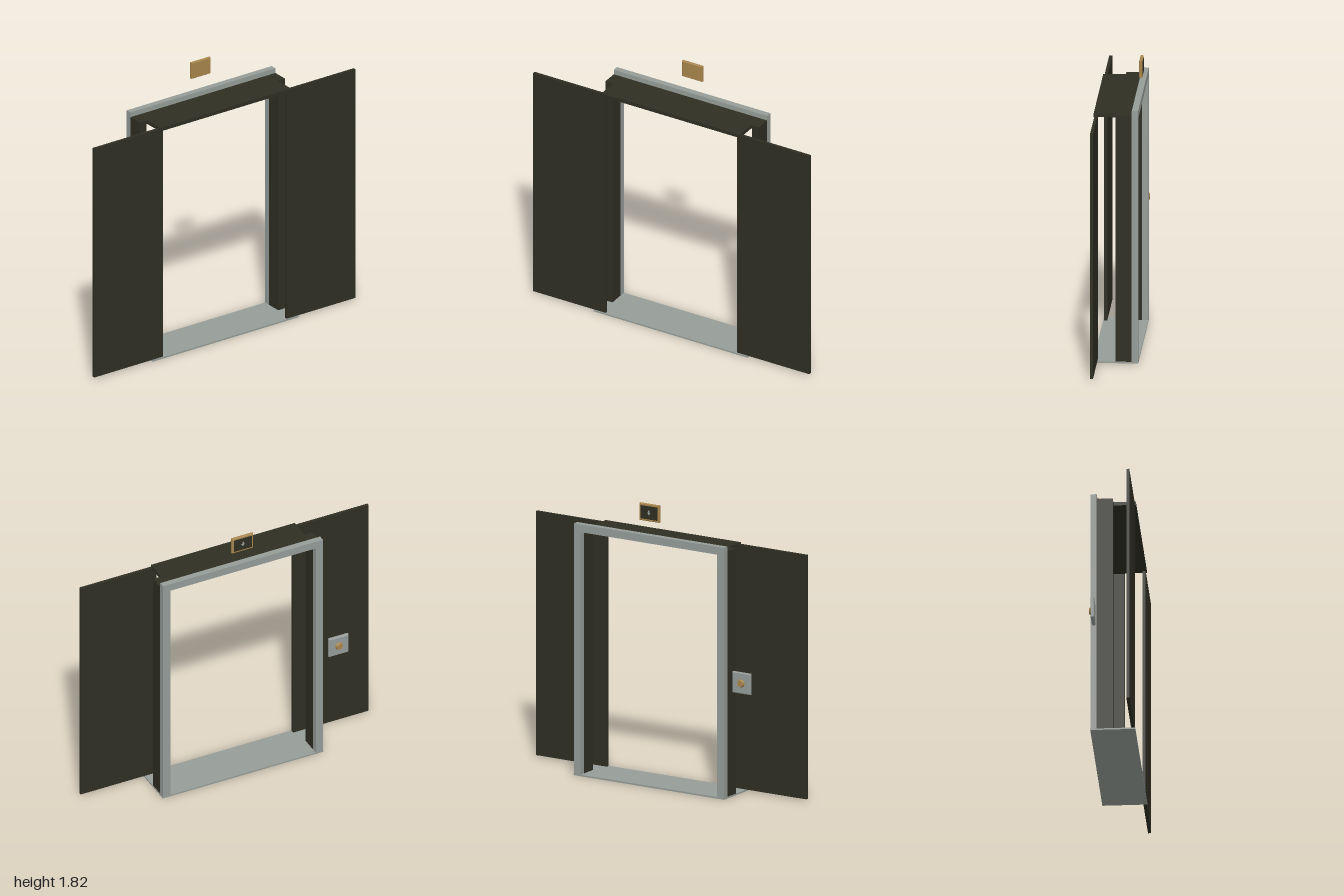
import * as THREE from 'three';

const material = (name, color) => {
  const m = new THREE.MeshStandardMaterial({ color });
  m.name = name;
  return m;
};

export function createModel() {
  const dark = material('dark bronze', 0x2e2e23);
  const steel = material('brushed steel', 0x959c98);
  const brass = material('brass', 0xa8854b);

  const group = new THREE.Group();
  const add = (name, geometry, mat, parent = group) => {
    const mesh = new THREE.Mesh(geometry, mat);
    mesh.name = name;
    parent.add(mesh);
    return mesh;
  };
  // Box given by its extents on each axis
  const box = (name, mat, [x0, x1], [y0, y1], [z0, z1]) => {
    const g = new THREE.BoxGeometry(x1 - x0, y1 - y0, z1 - z0);
    g.translate((x0 + x1) / 2, (y0 + y1) / 2, (z0 + z1) / 2);
    return add(name, g, mat);
  };
  // Plate with chamfered edges, centred on the origin
  const plate = (w, h, d, c) => {
    const a = w / 2 - c, b = h / 2 - c;
    const s = new THREE.Shape([[-a, -b], [a, -b], [a, b], [-a, b]].map(p => new THREE.Vector2(...p)));
    const g = new THREE.ExtrudeGeometry(s, {
      depth: d - 2 * c, bevelEnabled: true, bevelThickness: c, bevelSize: c, bevelSegments: 1,
    });
    return g.translate(0, 0, -d / 2 + c);
  };

  // Floor sill
  box('sill', steel, [-0.557, 0.557], [0, 0.01], [-0.14, 0.14]);

  // Door surround: posts and top bar in one extrusion
  const outline = [[-0.555, 0.005], [-0.505, 0.005], [-0.505, 1.565], [0.505, 1.565],
    [0.505, 0.005], [0.555, 0.005], [0.555, 1.615], [-0.555, 1.615]];
  const surround = new THREE.ExtrudeGeometry(
    new THREE.Shape(outline.map(p => new THREE.Vector2(...p))), { depth: 0.04, bevelEnabled: false });
  add('doorFrame', surround.translate(0, 0, -0.14), steel);

  // Header: wide over the jambs, narrower over the door track
  box('headerRear', dark, [-0.555, 0.555], [1.56, 1.583], [-0.1, 0]);
  box('headerFront', dark, [-0.5, 0.5], [1.56, 1.583], [0, 0.14]);

  // Jambs and sliding door panels
  for (const [side, s] of [['left', 1], ['right', -1]]) {
    const span = (a, b) => (s > 0 ? [a, b] : [-b, -a]);
    box(side + 'Jamb', dark, span(0.505, 0.555), [0.01, 1.56], [-0.1, 0]);
    box(side + 'Door', dark, span(0.475, 1), [0.01, 1.575], [0.114, 0.133]);
  }

  // Floor indicator above the door, facing the landing
  const indicator = new THREE.Group();
  indicator.name = 'floorIndicator';
  indicator.position.set(0, 1.76, -0.127);
  group.add(indicator);
  add('indicatorCase', plate(0.147, 0.11, 0.02, 0.004), brass, indicator);
  add('indicatorScreen', new THREE.BoxGeometry(0.122, 0.084, 0.003), dark, indicator).position.z = -0.0105;
  const arrow = new THREE.Shape([[0, -0.016], [0.013, 0.002], [0.005, 0.002], [0.005, 0.016],
    [-0.005, 0.016], [-0.005, 0.002], [-0.013, 0.002]].map(p => new THREE.Vector2(...p)));
  add('indicatorArrow', new THREE.ExtrudeGeometry(arrow, { depth: 0.002, bevelEnabled: false }),
    steel, indicator).position.z = -0.0135;

  // Call button panel beside the door
  const panel = new THREE.Group();
  panel.name = 'callPanel';
  panel.position.set(-0.673, 0.76, -0.115);
  group.add(panel);
  add('callPlate', plate(0.135, 0.135, 0.023, 0.005), steel, panel);
  const button = add('callButton', new THREE.CylinderGeometry(0.02, 0.026, 0.013, 24), brass, panel);
  button.rotation.x = -Math.PI / 2;
  button.position.z = -0.0175;

  return group;
}
